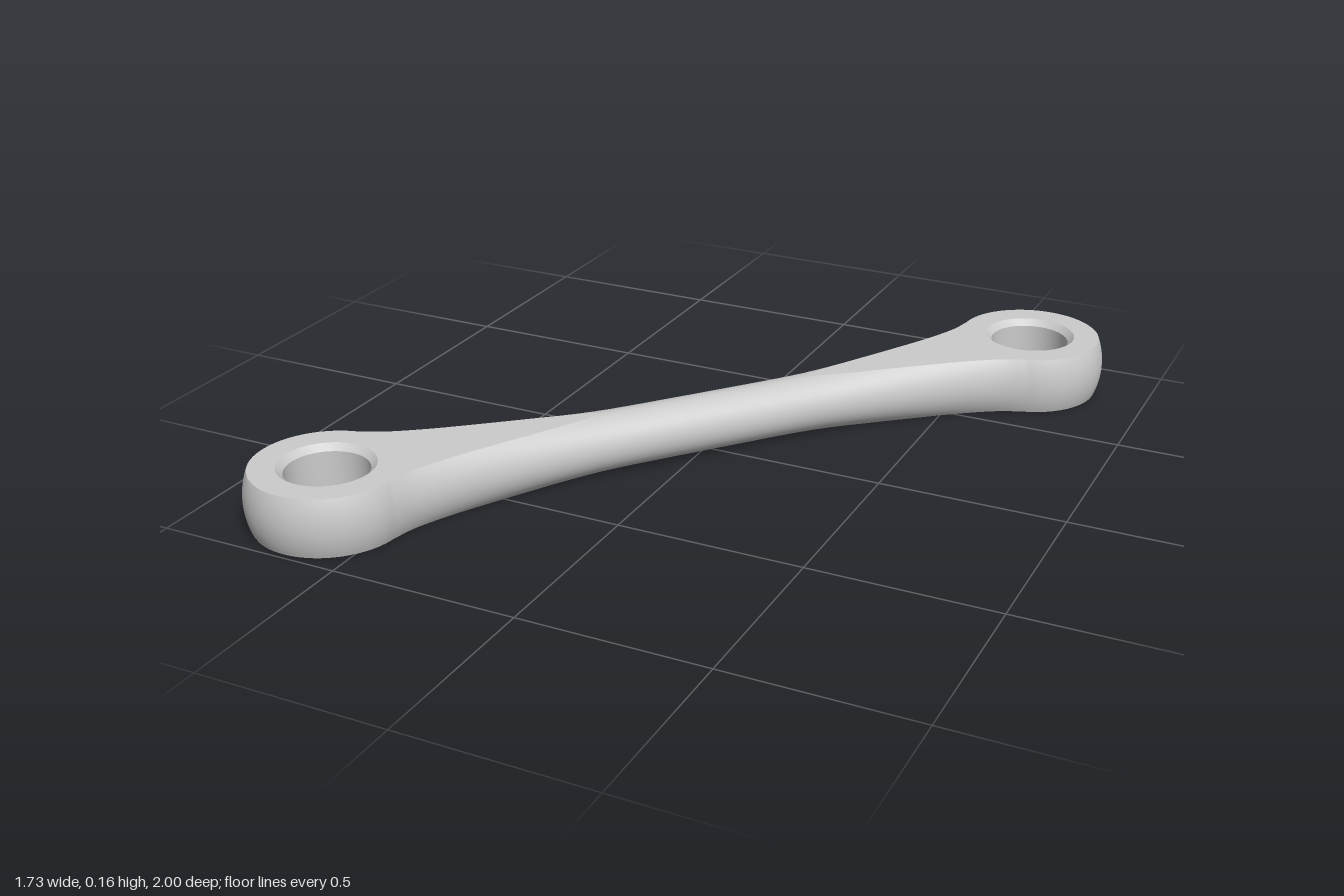
import * as THREE from 'three';
import { mergeVertices, toCreasedNormals } from 'three/addons/utils/BufferGeometryUtils.js';

const H = 0.079;          // half thickness
const R_END = 0.21;       // radius of the spherical ends
const D = 1.026;          // distance of each eye from the middle
const R_HOLE = 0.108, R_RIM = 0.125, RIM_DEPTH = 0.017;
const KNOT_STEPS = 8;

// Radius of the rod along its own axis, from the middle to one tip: [s, radius]
function halfProfile() {
  const knots = [[0, 0.077], [0.3, H], [0.45, 0.088], [0.6, 0.103], [0.75, 0.125], [0.85, 0.149], [0.91, 0.175]];
  const curve = new THREE.CatmullRomCurve3(knots.map(([s, r]) => new THREE.Vector3(s, r, 0)));
  const out = curve.getPoints((knots.length - 1) * KNOT_STEPS).map((p) => [p.x, p.y]);
  const aStart = Math.PI - Math.asin(0.175 / R_END), aFlat = Math.asin(H / R_END);
  const arc = (from, to, n) => {
    for (let i = 1; i <= n; i++) {
      const a = from + (to - from) * i / n;
      out.push([D + R_END * Math.cos(a), R_END * Math.sin(a)]);
    }
  };
  arc(aStart, aFlat, 36);
  arc(aFlat, 0, 8);
  return out;
}

// Round side walls: a turned surface cut off at the flat top and bottom
function sideGeometry(half) {
  const stations = [...half.slice(1).reverse().map(([s, r]) => [-s, r]), ...half];
  const N = 20, pos = [], index = [];
  for (const centre of [0, Math.PI]) {
    const base = pos.length / 3;
    stations.forEach(([s, r], i) => {
      const span = r > H ? Math.asin(H / r) : Math.PI / 2;
      for (let j = 0; j <= N; j++) {
        const phi = centre + span * (2 * j / N - 1);
        pos.push(s, r * Math.sin(phi), r * Math.cos(phi));
        if (i > 0 && j > 0) {
          const d = base + i * (N + 1) + j, c = d - 1, b = d - N - 1, a = b - 1;
          index.push(a, c, d, a, d, b);
        }
      }
    });
  }
  let geo = new THREE.BufferGeometry();
  geo.setAttribute('position', new THREE.Float32BufferAttribute(pos, 3));
  geo.setIndex(index);
  geo = mergeVertices(geo, 1e-5);
  geo.computeVertexNormals();
  return geo;
}

// Flat face of one end, with its hole
function faceGeometry(half) {
  const edge = half.slice(KNOT_STEPS).filter(([s, r]) => r >= H - 1e-6)
    .map(([s, r]) => new THREE.Vector2(s, Math.sqrt(Math.max(0, r * r - H * H))));
  const back = edge.slice(1, -1).reverse().map((p) => new THREE.Vector2(p.x, -p.y));
  const shape = new THREE.Shape([...edge, ...back]);
  shape.holes.push(new THREE.Path().absarc(D, 0, R_RIM, 0, Math.PI * 2, true));
  return new THREE.ShapeGeometry(shape, 24);
}

export function createModel() {
  const model = new THREE.Group();
  model.name = 'linkRod';
  const material = new THREE.MeshStandardMaterial({ color: 0xcccccc });
  const half = halfProfile();
  const add = (parent, name, geo) => {
    const mesh = new THREE.Mesh(geo, material);
    mesh.name = name;
    parent.add(mesh);
    return mesh;
  };

  const rod = new THREE.Group();
  rod.name = 'rod';
  rod.position.y = H;
  rod.rotation.y = Math.atan2(0.79, 0.655);
  model.add(rod);
  add(rod, 'roundedSides', sideGeometry(half));

  // Chamfered bore, facing inward
  const inner = H - RIM_DEPTH;
  const bore = toCreasedNormals(new THREE.LatheGeometry(
    [[R_RIM, H], [R_HOLE, inner], [R_HOLE, -inner], [R_RIM, -H]].map(([r, y]) => new THREE.Vector2(r, y)), 48), 0.5);
  const top = faceGeometry(half).rotateX(-Math.PI / 2).translate(0, H, 0);
  const bottom = faceGeometry(half).rotateX(Math.PI / 2).translate(0, -H, 0);

  // Two identical eyes, half a turn apart
  ['rightRearEye', 'leftFrontEye'].forEach((name, i) => {
    const eye = new THREE.Group();
    eye.name = i === 0 ? 'leftRearEye' : 'rightFrontEye';
    eye.rotation.y = i * Math.PI;
    add(eye, 'topFace', top);
    add(eye, 'bottomFace', bottom);
    add(eye, 'bore', bore).position.x = D;
    rod.add(eye);
  });
  return model;
}
